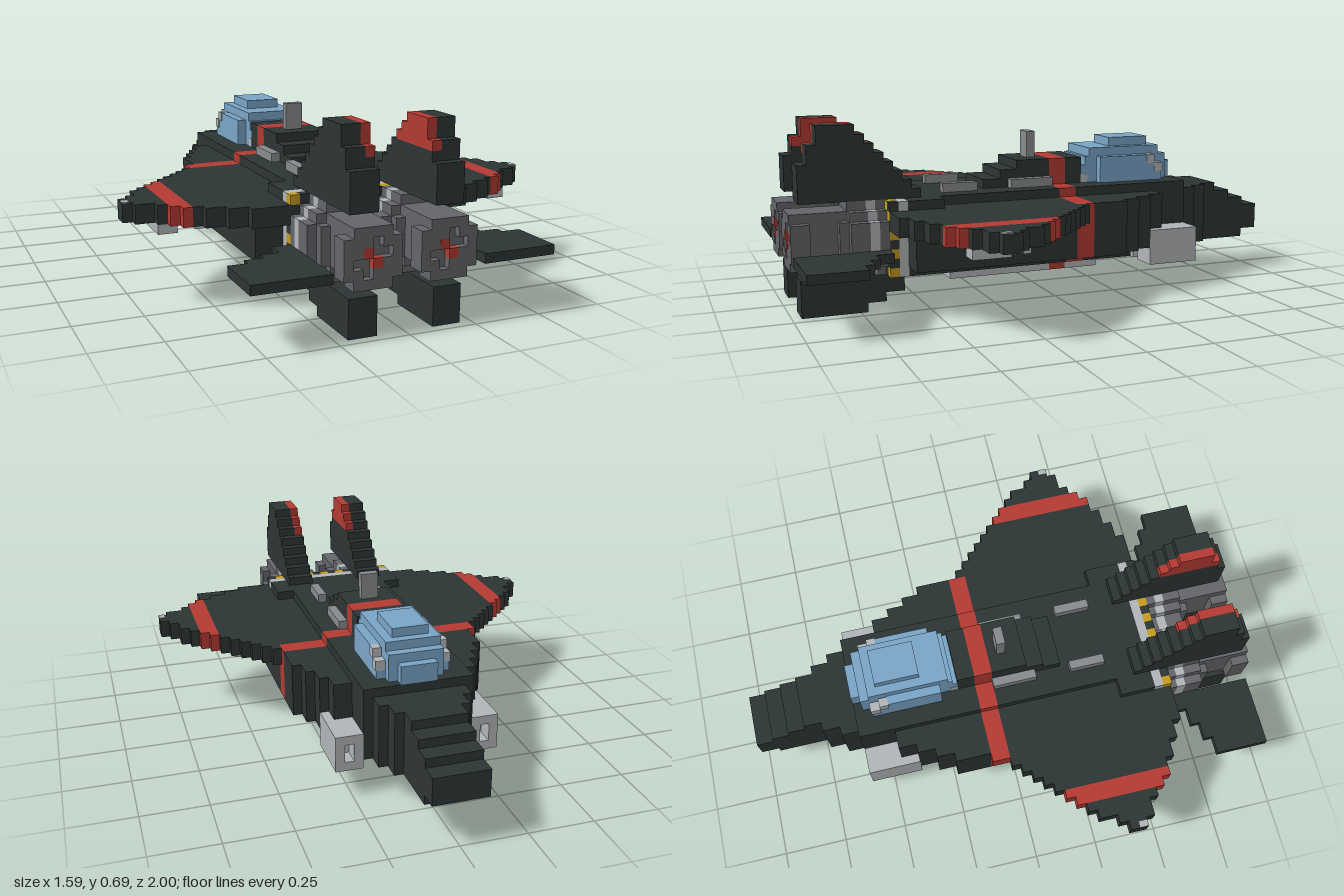
import * as THREE from 'three';
import { mergeGeometries } from 'three/addons/utils/BufferGeometryUtils.js';

const V = 2 / 58; // edge of one building block

const material = (name, color) => {
  const m = new THREE.MeshStandardMaterial({ color });
  m.name = name;
  return m;
};

// Block from [x0, x1, y0, y1, z0, z1] in block units
function block([x0, x1, y0, y1, z0, z1]) {
  return new THREE.BoxGeometry((x1 - x0) * V, (y1 - y0) * V, (z1 - z0) * V)
    .translate((x0 + x1) / 2 * V, (y0 + y1) / 2 * V, (z0 + z1) / 2 * V);
}

// Adds the mirror image of every block
const mirrored = (list) =>
  list.flatMap((b) => [b, [-b[1], -b[0], b[2], b[3], b[4], b[5]]]);

// Stepped disc: one row of blocks per level
function disc(cx, cy, r, z0, z1) {
  const rows = [];
  for (let j = -r; j < r; j++) {
    const h = Math.round(Math.sqrt(r * r - (j + 0.5) ** 2));
    rows.push([cx - h, cx + h, cy + j, cy + j + 1, z0, z1]);
  }
  return rows;
}

export function createModel() {
  const dark = material('dark hull', 0x2d3534);
  const red = material('red trim', 0xb43a32);
  const light = material('light grey', 0xb2b5b8);
  const grey = material('mid grey', 0x888b8d);
  const metal = material('engine grey', 0x646568);
  const blue = material('canopy blue', 0x7aa5c8);
  const yellow = material('hazard yellow', 0xc39a20);

  const model = new THREE.Group();
  const part = (name, mat, list) => {
    const mesh = new THREE.Mesh(mergeGeometries(list.map(block)), mat);
    mesh.name = name;
    model.add(mesh);
  };

  // Nose and fuselage: z0, z1, half width, bottom, top
  const slices = [
    [-29, -27, 3, 5, 8], [-27, -25, 3, 4, 9], [-25, -23, 3, 4, 10], [-23, -21, 3, 4, 11],
    [-21, -19, 4, 4, 11], [-19, -17, 5, 4, 11], [-17, -13, 6, 4, 12], [-13, -11, 8, 5, 11],
    [-11, -9, 9, 5, 11], [-9, -7, 10, 5, 11], [-7, -3, 11, 5, 11], [-1, 17, 11, 5, 11],
  ];
  part('fuselage', dark, slices.map(([z0, z1, h, y0, y1]) => [-h, h, y0, y1, z0, z1]));
  part('keel', dark, [[-6, 6, 4, 5, -13, -9], [-8, 8, 4, 5, -9, -3], [-8, 8, 4, 5, -1, 17]]);
  part('deck', dark, [[-6, 6, 11, 12, -13, -3], [-6, 6, 11, 12, -1, 13], [-8, 8, 11, 12, 13, 17]]);
  part('spine', dark, [
    [-3, 3, 12, 15, -5, -3], [-3, 3, 12, 15, -1, 3], [-3, 3, 12, 14, 3, 5], [-3, 3, 12, 13, 5, 7],
  ]);
  part('redBand', red, [
    [-11, 11, 5, 11, -3, -1], [-8, 8, 4, 5, -3, -1], [-6, 6, 11, 12, -3, -1],
    [-3, 3, 12, 15, -3, -1], [-3, 3, 2, 4, -3, -1], [-12, -11, 9, 11, -3, -1],
  ]);
  part('bandCorner', dark, [[11, 12, 9, 11, -2, -1]]);

  // Wings: z0, z1, half span, with a red stripe through the outer panel
  const wingRows = [
    [-1, 0, 13], [0, 1, 14], [1, 2, 15], [2, 3, 16], [3, 4, 17], [4, 5, 18], [5, 6, 19],
    [6, 7, 20], [7, 9, 21], [9, 10, 22], [10, 12, 23], [12, 13, 22], [13, 14, 20],
    [14, 15, 19], [15, 16, 18], [16, 17, 16], [17, 18, 14], [18, 19, 12],
  ];
  const panels = [], stripes = [];
  for (const [z0, z1, h] of wingRows) {
    panels.push([z0 < 17 ? 11 : 8, Math.min(h, 17), 9, 11, z0, z1]);
    if (h > 17) stripes.push([17, Math.min(h, 19), 9, 11, z0, z1]);
    if (h > 19) panels.push([19, h, 9, 11, z0, z1]);
  }
  part('wings', dark, mirrored(panels));
  part('wingStripes', red, mirrored(stripes));
  part('wingtipLights', light, mirrored([[22.3, 23, 11, 11.1, 11, 12]]));
  part('pylons', dark, mirrored([[13, 15, 8, 9, 6, 10]]));
  part('underwingPods', light, mirrored([[18, 20, 8, 9, 10, 14], [13, 15, 7, 8, 6, 10]]));

  // Tailplanes
  part('tailplanes', dark, mirrored([
    [8, 10, 6, 7, 19, 21], [8, 12, 6, 7, 21, 22], [8, 14, 6, 7, 22, 23], [8, 16, 6, 7, 23, 29],
  ]));

  // Upper fins step back one block per level; red on the inner top
  const fin = [], finRed = [];
  for (let i = 0; i < 8; i++) {
    const y = 12 + i, z0 = 15 + i, z1 = i < 4 ? 28 : i < 6 ? 27 : 26;
    fin.push([i < 5 ? 3 : 4, 6, y, y + 1, z0, z1]);
    if (i >= 5) finRed.push([3, 4, y, y + 1, z0, z1]);
  }
  part('upperFins', dark, mirrored(fin));
  part('finPanels', red, mirrored(finRed));
  part('lowerFins', dark, mirrored([
    [3, 6, 2, 4, 17, 28], [3, 6, 1, 2, 19, 28], [3, 6, 0, 1, 21, 28],
  ]));

  // Canopy, stacked in shrinking layers
  part('canopy', blue, [
    [-4, 4, 12, 14, -15, -7], [-3, 3, 12, 14, -16, -5], [-2, 2, 12, 14, -17, -16],
    [-4, 4, 14, 15, -13, -7], [-3, 3, 14, 15, -16, -5.5],
    [-3, 3, 15, 16, -15, -6], [-2, 2, 16, 17, -14, -9],
  ]);
  part('canopyFrame', light, [
    ...mirrored([[3.1, 4.1, 13, 14.05, -15.1, -14], [3.1, 4.1, 14, 15.05, -14, -13]]),
    [-3.05, 3.05, 12, 13, -5.8, -4.95],
  ]);

  // Roof fittings
  part('antenna', grey, [[-1, 1, 15, 18, 0, 1]]);
  part('roofVents', grey, mirrored([[3, 4, 12, 13, -1, 4], [3, 4, 12, 13, 8, 12]]));

  // Intakes: four walls around an opening, closed behind
  part('intakes', light, mirrored([
    [6, 7, 3, 7, -17, -11], [8, 9, 3, 7, -17, -11],
    [7, 8, 3, 4, -17, -11], [7, 8, 6, 7, -17, -11], [7, 8, 4, 6, -15, -11],
  ]));

  // Belly pack and nose sensor
  part('bellyPack', light, [
    [-3, 3, 3, 4, -9, -3], [-3, 3, 2, 3, -7, -3], [-3, 3, 3, 4, -1, 13], [-3, 3, 2, 3, -1, 11],
  ]);
  part('noseSensor', light, [[-1, 1, 2, 4, -15, -13]]);

  // Light collar, then the chequered hazard ring
  part('collar', light, [[-8, 8, 4, 12, 17, 18]]);
  const yellowCells = [], darkCells = [];
  for (let x = -8; x < 8; x++) {
    for (let y = 4; y < 12; y++) {
      const odd = Math.abs(x + y) % 2 === 1;
      (odd ? yellowCells : darkCells).push([x, x + 1, y, y + 1, 18, 19]);
    }
  }
  part('hazardCellsYellow', yellow, yellowCells);
  part('hazardCellsDark', dark, darkCells);

  // Twin engines
  for (const cx of [-4, 4]) {
    const side = cx > 0 ? 'left' : 'right';
    part(side + 'EngineCasing', metal, [
      ...disc(cx, 8, 4, 19, 20), ...disc(cx, 8, 4, 21, 23), ...disc(cx, 8, 3, 23, 24),
      [cx - 2, cx + 2, 6, 11, 24, 27],
    ]);
    part(side + 'EngineRing', light, disc(cx, 8, 4, 20, 21));
    // Flared nozzle with raised petals
    const petals = [];
    for (let i = -3; i < 3; i++) {
      for (let j = -3; j < 3; j++) {
        const r = Math.hypot(i + 0.5, j + 0.5);
        if (r > 2 && r < 3.2 || (r < 2 && r > 1 && (i + j) % 2 === 0)) {
          petals.push([cx + i, cx + i + 1, 8 + j, 9 + j, 28.2, 29]);
        }
      }
    }
    part(side + 'Nozzle', metal, [...disc(cx, 8, 3, 27, 28.2), ...petals]);
    const a = cx > 0 ? 3 : -5;
    part(side + 'NozzleGlow', red, [
      [a, a + 1, 8, 9, 28.2, 29.02], [a + 1, a + 2, 7, 8, 28.2, 29.02],
    ]);
  }
  return model;
}
